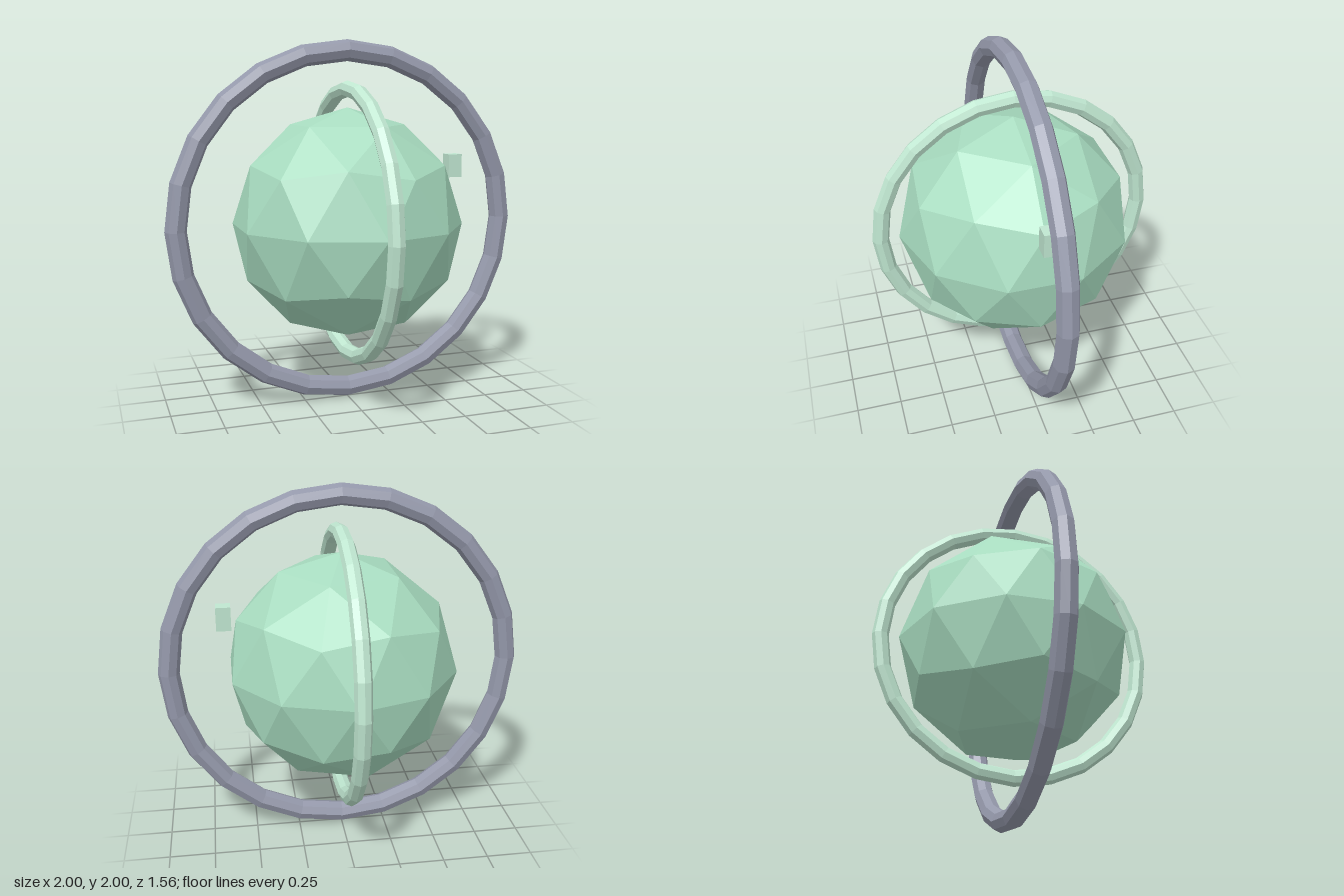
import * as THREE from 'three';

const material = (color) => new THREE.MeshStandardMaterial({ color, flatShading: true });

export function createModel() {
  const model = new THREE.Group();
  model.name = 'ringedGlobe';

  const add = (name, geometry, color, x, y, z) => {
    const mesh = new THREE.Mesh(geometry, material(color));
    mesh.name = name;
    mesh.position.set(x, y, z);
    model.add(mesh);
    return mesh;
  };

  // Faceted core, turned so that one icosahedron corner points straight up
  const core = new THREE.IcosahedronGeometry(0.637, 1);
  core.rotateZ(-Math.atan((Math.sqrt(5) - 1) / 2));
  add('core', core, 0xa8dcc0, 0, 1, 0);

  // Large outer ring facing the front
  add('outerRing', new THREE.TorusGeometry(0.942, 0.058, 8, 24), 0x9498aa, 0, 1, 0);

  // Smaller inner ring, crossing it at a right angle
  const innerRing = add('innerRing', new THREE.TorusGeometry(0.737, 0.045, 8, 24), 0xbfe6d0, 0, 1, 0);
  innerRing.rotation.y = Math.PI / 2;

  // Small floating block between the core and the outer ring
  add('floatingBlock', new THREE.BoxGeometry(0.08, 0.13, 0.08), 0xbfe6d0, 0.635, 1.305, 0);

  return model;
}
